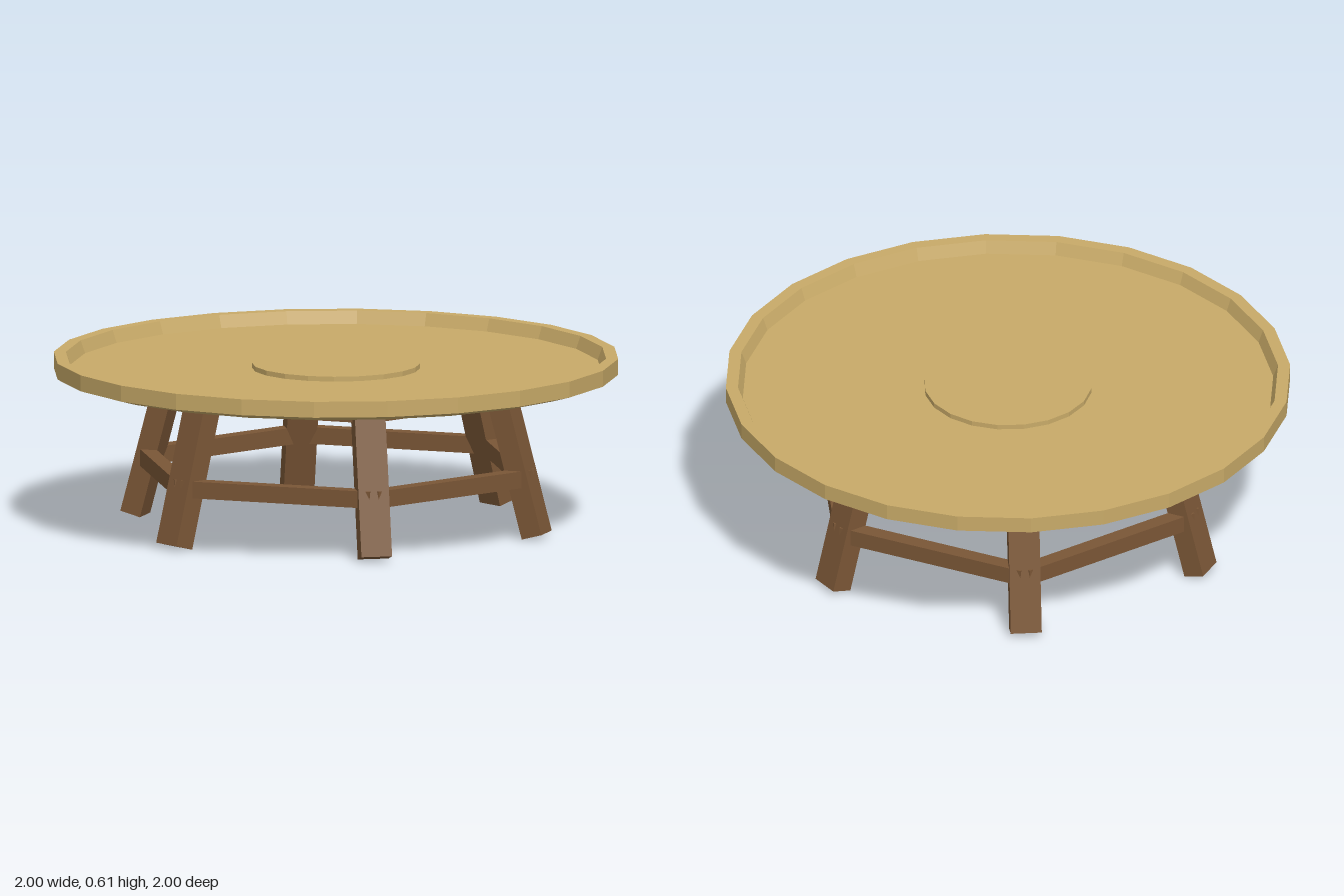
import * as THREE from 'three';

const mat = (name, color) => {
  const m = new THREE.MeshStandardMaterial({ color, flatShading: true });
  m.name = name;
  return m;
};

export function createModel() {
  const group = new THREE.Group();
  group.name = 'trayTable';
  const paleWood = mat('pale wood', 0xc8aa68);
  const darkWood = mat('dark wood', 0x7a5636);

  const add = (parent, name, geometry, material, x = 0, y = 0, z = 0) => {
    const mesh = new THREE.Mesh(geometry, material);
    mesh.name = name;
    mesh.position.set(x, y, z);
    parent.add(mesh);
    return mesh;
  };

  // Round tray with a chamfered underside and raised rim
  const profile = [
    [0, 0.535], [0.93, 0.535], [1, 0.555], [1, 0.612],
    [0.957, 0.612], [0.94, 0.567], [0, 0.567],
  ].map(([r, y]) => new THREE.Vector2(r, y));
  add(group, 'tray', new THREE.LatheGeometry(profile, 24), paleWood);

  // Low raised disc in the middle of the tray
  add(group, 'centreDisc', new THREE.CylinderGeometry(0.297, 0.297, 0.025, 20), paleWood, 0, 0.572, 0);

  // Six splayed legs, joined by two rings of rails
  const tilt = THREE.MathUtils.degToRad(15);
  const legLength = 0.56;
  const legGeo = new THREE.BoxGeometry(0.076, legLength, 0.11);
  legGeo.translate(0, legLength / 2, 0);
  const railDepth = 0.055;
  const lowerRailGeo = new THREE.BoxGeometry(railDepth, 0.06, 0.708);
  const upperRailGeo = new THREE.BoxGeometry(railDepth, 0.064, 0.6);

  for (let i = 0; i < 6; i++) {
    const legBay = new THREE.Group();
    legBay.name = 'legBay';
    legBay.rotation.y = (i * Math.PI) / 3;
    group.add(legBay);
    add(legBay, 'leg', legGeo, darkWood, 0.752, 0.01, 0).rotation.z = tilt;

    const railBay = new THREE.Group();
    railBay.name = 'railBay';
    railBay.rotation.y = ((i + 0.5) * Math.PI) / 3;
    group.add(railBay);
    add(railBay, 'lowerRail', lowerRailGeo, darkWood, 0.646 - railDepth / 2, 0.214, 0);
    add(railBay, 'upperRail', upperRailGeo, darkWood, 0.56 - railDepth / 2, 0.506, 0);
  }
  return group;
}
